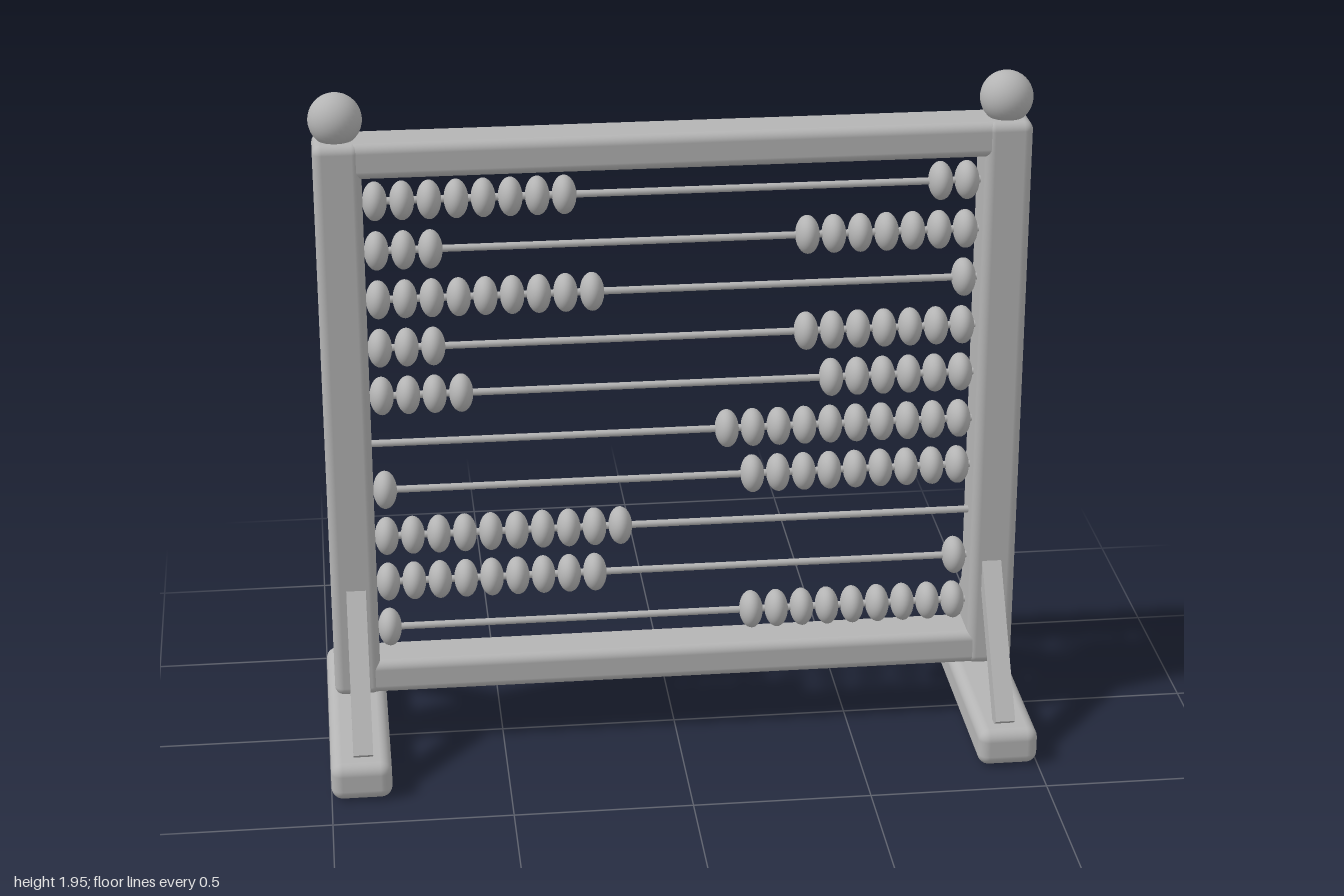
import * as THREE from 'three';
import { RoundedBoxGeometry } from 'three/addons/geometries/RoundedBoxGeometry.js';

const POST_X = 0.913;
// Beads pushed to the -x end of each wire, from the bottom wire up (ten per wire)
const BEADS_LEFT = [1, 9, 10, 1, 0, 4, 3, 9, 3, 8];

export function createModel() {
  const model = new THREE.Group();
  model.name = 'abacus';

  const grey = new THREE.MeshStandardMaterial({ color: 0xb4b4b4 });
  grey.name = 'plain grey';

  function add(name, geometry, x, y, z) {
    const mesh = new THREE.Mesh(geometry, grey);
    mesh.name = name;
    mesh.position.set(x, y, z);
    model.add(mesh);
    return mesh;
  }

  // Shared shapes
  const postShape = new RoundedBoxGeometry(0.13, 1.65, 0.15, 4, 0.025);
  const railShape = new RoundedBoxGeometry(1.95, 0.1, 0.145, 4, 0.025);
  const footShape = new RoundedBoxGeometry(0.17, 0.11, 0.76, 4, 0.032);
  const knobShape = new THREE.SphereGeometry(0.073, 32, 20);
  const strutShape = new THREE.BoxGeometry(0.055, 0.47, 0.055);
  const wireShape = new THREE.CylinderGeometry(0.01, 0.01, 1.76, 12).rotateZ(Math.PI / 2);
  const beadShape = new THREE.SphereGeometry(0.054, 24, 16).rotateZ(Math.PI / 2).scale(0.62, 1, 1);

  // Frame rails
  add('topRail', railShape, 0, 1.77, 0);
  add('bottomRail', railShape, 0, 0.222, 0);

  // Posts, knobs, feet and slanted struts on both sides
  for (const side of [-1, 1]) {
    const label = side > 0 ? 'left' : 'right';
    add(label + 'Post', postShape, side * POST_X, 0.995, 0);
    add(label + 'Knob', knobShape, side * POST_X, 1.873, 0);
    add(label + 'Foot', footShape, side * 0.915, 0.055, 0);
    for (const end of [-1, 1]) {
      const name = label + (end > 0 ? 'FrontStrut' : 'BackStrut');
      const strut = add(name, strutShape, side * 0.908, 0.303, end * 0.189);
      strut.rotation.x = -end * 0.635;
    }
  }

  // Wires with their beads
  BEADS_LEFT.forEach((leftCount, row) => {
    const y = 0.35 + row * 0.143;
    add('wire' + (row + 1), wireShape, 0, y, 0);
    for (let i = 0; i < 10; i++) {
      const x = i < leftCount ? -0.815 + i * 0.0735 : 0.811 - (9 - i) * 0.0735;
      add('bead', beadShape, x, y, 0);
    }
  });

  return model;
}
